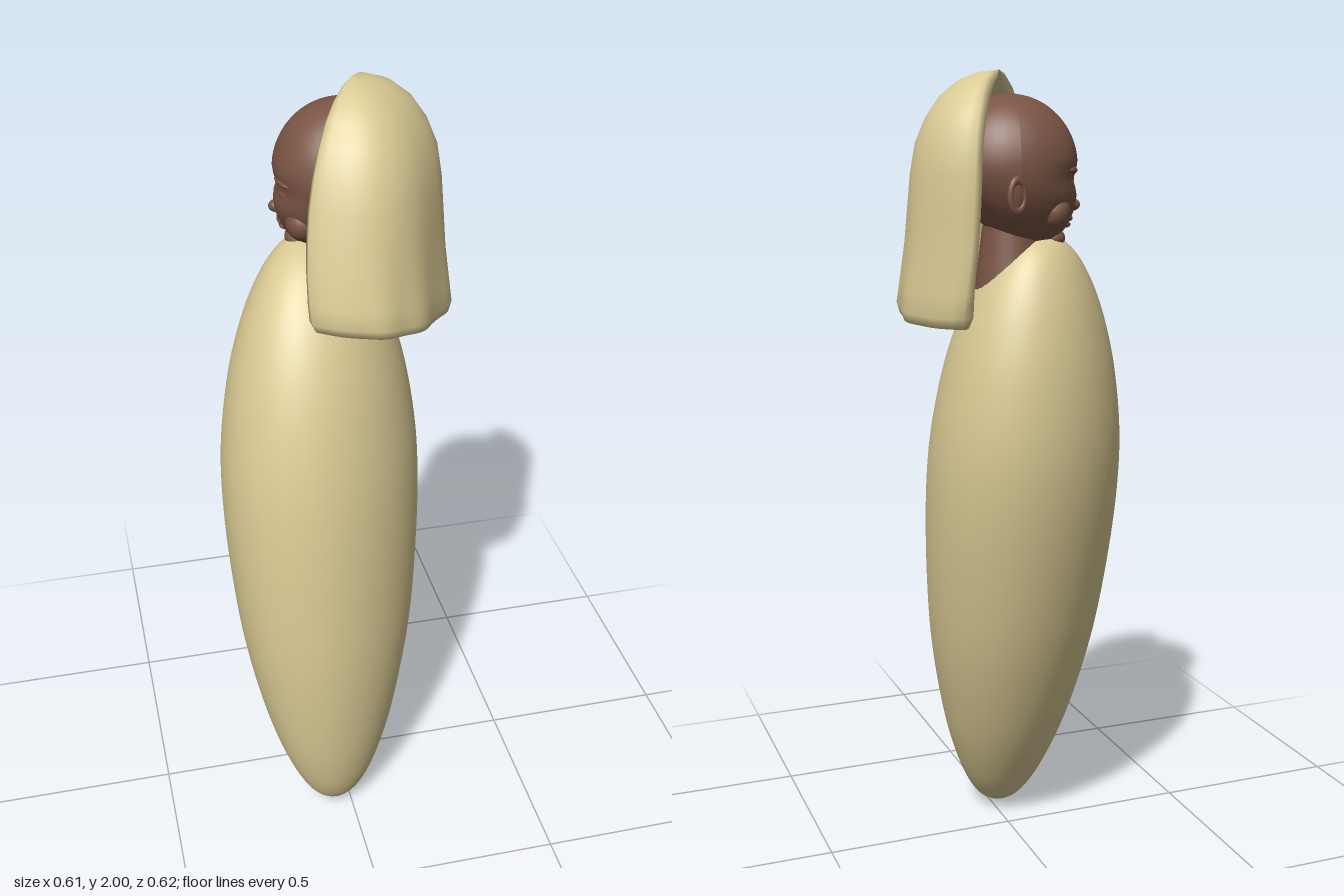
import * as THREE from 'three';

const cream = new THREE.MeshStandardMaterial({ color: 0xd9c993 });
cream.name = 'cream cloth';
const brown = new THREE.MeshStandardMaterial({ color: 0x7a5444 });
brown.name = 'brown skin';

const TURN = Math.atan2(-0.81, -0.587); // direction the hood opens
const FACE = -1.75;                     // direction the face looks

// Skin a stack of closed rings, listed from bottom to top
function loft(rings) {
  const n = rings[0].length, index = [];
  for (let i = 0; i < rings.length - 1; i++) {
    for (let j = 0; j < n; j++) {
      const a = i * n + j, d = i * n + (j + 1) % n, b = a + n, c = d + n;
      index.push(a, b, d, b, c, d);
    }
  }
  const geo = new THREE.BufferGeometry();
  geo.setAttribute('position', new THREE.Float32BufferAttribute(rings.flat(2), 3));
  geo.setIndex(index);
  geo.computeVertexNormals();
  return geo;
}

function add(parent, name, geo, material) {
  const mesh = new THREE.Mesh(geo, material);
  mesh.name = name;
  parent.add(mesh);
  return mesh;
}

// Wrapped body: oval sections along a leaning centre line (radius, height, z)
function bodyGeometry() {
  const profile = [
    [0, 0, 0.16], [0.2, 0.022, 0.155], [0.34, 0.065, 0.147], [0.5, 0.15, 0.13],
    [0.69, 0.3, 0.098], [0.88, 0.54, 0.052], [0.965, 0.75, 0.015], [1, 0.95, -0.018],
    [0.98, 1.1, -0.04], [0.88, 1.27, -0.062], [0.74, 1.4, -0.08], [0.57, 1.5, -0.098],
    [0.38, 1.57, -0.115], [0.2, 1.605, -0.125], [0, 1.615, -0.13],
  ];
  const line = new THREE.CatmullRomCurve3(profile.map(p => new THREE.Vector3(...p)));
  const rings = [];
  for (let i = 0; i <= 64; i++) {
    const p = line.getPoint(i / 64), r = Math.max(p.x, 0), ring = [];
    for (let j = 0; j < 56; j++) {
      const a = j / 56 * Math.PI * 2;
      const u = 0.305 * r * Math.cos(a), v = 0.245 * r * Math.sin(a);
      ring.push([-0.032 + 0.587 * u + 0.81 * v, p.y, p.z - 0.81 * u + 0.587 * v]);
    }
    rings.push(ring);
  }
  return loft(rings);
}

// Hood: thick C-shaped sections (height, half width, depth, centre x, thickness)
function hoodGeometry() {
  const rows = [
    [1.44, 0.222, 0.195, -0.08, 0.002], [1.446, 0.24, 0.212, -0.08, 0.025],
    [1.47, 0.252, 0.222, -0.08, 0.045], [1.52, 0.25, 0.222, -0.084, 0.035],
    [1.6, 0.24, 0.22, -0.09, 0.03], [1.68, 0.231, 0.217, -0.1, 0.03],
    [1.76, 0.221, 0.21, -0.11, 0.03], [1.83, 0.205, 0.196, -0.118, 0.03],
    [1.89, 0.178, 0.17, -0.123, 0.03], [1.94, 0.142, 0.135, -0.127, 0.03],
    [1.975, 0.098, 0.092, -0.13, 0.028], [1.994, 0.05, 0.045, -0.13, 0.02],
    [2, 0.001, 0.001, -0.13, 0],
  ];
  const N = 44;
  const pow = x => Math.sign(x) * Math.abs(x) ** 0.78;
  return loft(rows.map(([y, w, d, cx, t]) => {
    const low = Math.max(0, Math.min(1, (1.8 - y) / 0.35));
    const high = Math.max(0, (y - 1.7) / 0.3);
    const front = 0.012 - 0.035 * low * low;
    const point = (j, inset) => {
      const a = Math.PI * (1 + j / N);
      const fold = 1 + 0.02 * low * low * Math.sin(a * 11) * Math.sin(a);
      const x = cx + (w - inset) * pow(Math.cos(a)) * fold;
      const z = front + (d - inset) * pow(Math.sin(a)) * fold;
      return [x, y + low * 0.18 * (x - cx) - inset * high, z];
    };
    const rim = j => {
      const p = point(j, t / 2);
      return [p[0], p[1], p[2] + t * 0.4];
    };
    const ring = [];
    for (let j = 0; j <= N; j++) ring.push(point(j, 0));
    ring.push(rim(N));
    for (let j = N; j >= 0; j--) ring.push(point(j, t));
    ring.push(rim(0));
    return ring;
  }));
}

// Infant skull narrowing to the jaw, face towards +z
function skullGeometry() {
  const geo = new THREE.SphereGeometry(1, 48, 36), pos = geo.attributes.position;
  for (let i = 0; i < pos.count; i++) {
    let x = pos.getX(i), y = pos.getY(i), z = pos.getZ(i);
    const down = Math.max(0, -y);
    x *= 0.158 * (1 - 0.22 * down * down);
    if (z > 0) {
      // shallow hollow along the eyes
      z *= 0.166 * (1 + 0.1 * down) - 0.012 * Math.exp(-(((y + 0.15) / 0.13) ** 2));
    } else {
      z *= 0.165 * (1 - 0.45 * down);
    }
    z += 0.035 * down * down;
    pos.setXYZ(i, x, y * (y > 0 ? 0.17 : 0.195), z);
  }
  geo.computeVertexNormals();
  return geo;
}

function createHead() {
  const head = new THREE.Group();
  head.name = 'head';
  add(head, 'skull', skullGeometry(), brown);
  const blob = (name, x, y, z, sx, sy, sz) => {
    const m = add(head, name, new THREE.SphereGeometry(1, 20, 14), brown);
    m.position.set(x, y, z);
    m.scale.set(sx, sy, sz);
    return m;
  };
  blob('noseBridge', 0, -0.062, 0.148, 0.014, 0.038, 0.015);
  blob('noseTip', 0, -0.09, 0.158, 0.018, 0.015, 0.018);
  blob('upperLip', 0, -0.122, 0.143, 0.032, 0.009, 0.014);
  blob('lowerLip', 0, -0.137, 0.138, 0.026, 0.009, 0.014);
  blob('chin', 0, -0.17, 0.105, 0.042, 0.026, 0.034);
  for (const s of [-1, 1]) {
    blob('nostril', s * 0.017, -0.094, 0.147, 0.012, 0.011, 0.014);
    blob('cheek', s * 0.066, -0.105, 0.096, 0.048, 0.045, 0.04);
    blob('brow', s * 0.055, -0.008, 0.139, 0.042, 0.011, 0.016).rotation.y = s * 0.35;
    blob('eyelid', s * 0.055, -0.04, 0.134, 0.026, 0.016, 0.014).rotation.y = s * 0.35;
    // ear: curled rim around a shallow lobe
    const ear = new THREE.Group();
    ear.name = 'ear';
    ear.position.set(s * 0.158, -0.065, -0.01);
    ear.rotation.set(0, s * 1.1, 0);
    const rim = add(ear, 'earRim', new THREE.TorusGeometry(0.026, 0.008, 10, 24), brown);
    rim.scale.set(0.8, 1.35, 1);
    const bowl = add(ear, 'earBowl', new THREE.SphereGeometry(0.026, 16, 12), brown);
    bowl.scale.set(0.8, 1.3, 0.25);
    head.add(ear);
  }
  // neck
  const neck = add(head, 'neck', new THREE.CylinderGeometry(0.07, 0.09, 0.16, 28), brown);
  neck.position.set(0, -0.22, 0.005);
  head.position.set(0.045, 1.775, -0.122);
  head.rotation.y = FACE;
  return head;
}

export function createModel() {
  const model = new THREE.Group();
  model.name = 'swaddledInfant';
  add(model, 'wrappedBody', bodyGeometry(), cream);
  add(model, 'hood', hoodGeometry(), cream).rotation.y = TURN;
  model.add(createHead());
  return model;
}
